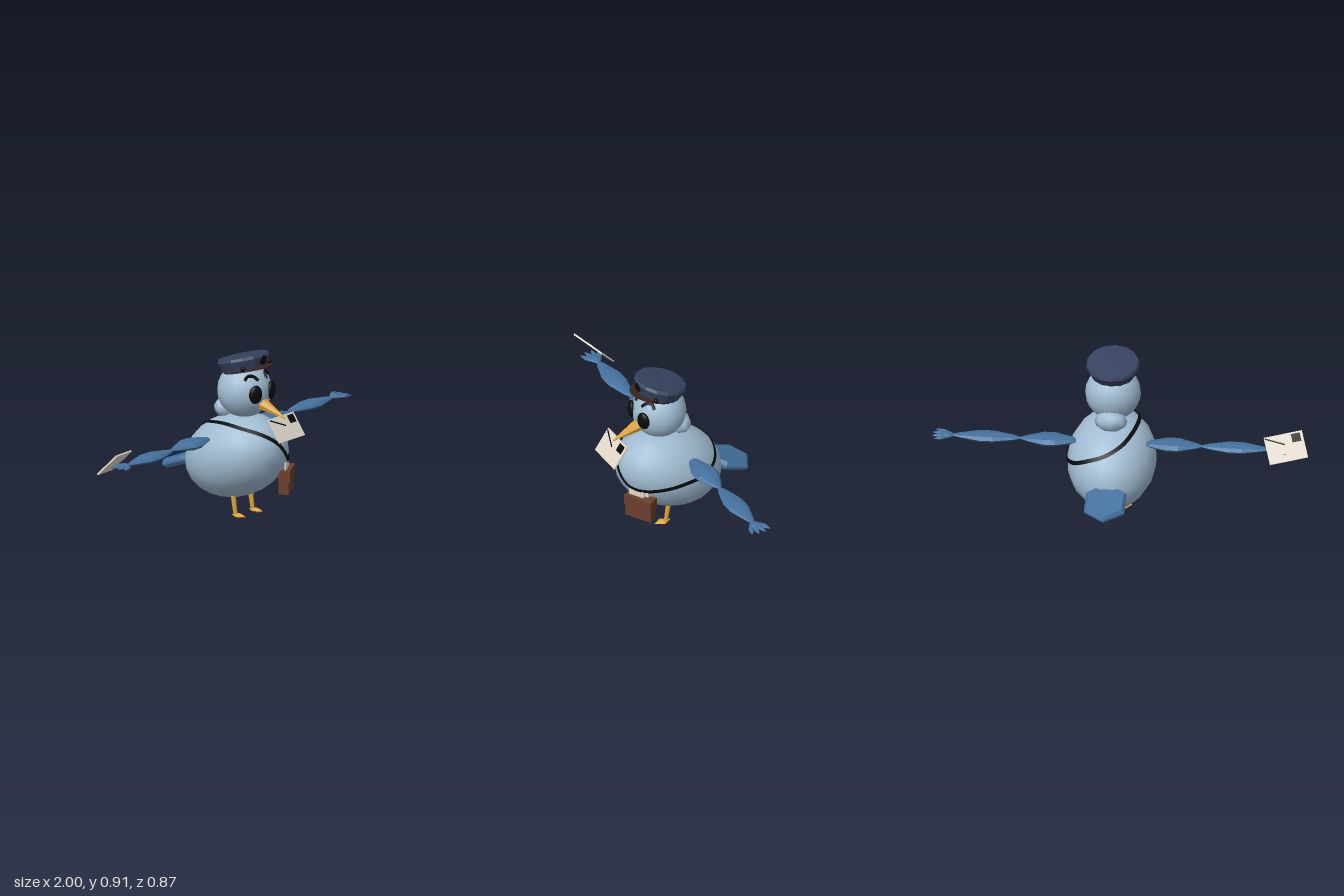
import * as THREE from 'three';

const mat = (name, color) => {
  const m = new THREE.MeshStandardMaterial({ color });
  m.name = name;
  return m;
};
const V = (x, y, z) => new THREE.Vector3(x, y, z);

export function createModel() {
  const paleBlue = mat('paleBlue', 0xa0bcd2);
  const wingBlue = mat('wingBlue', 0x44719e);
  const navy = mat('navy', 0x36425f);
  const gold = mat('gold', 0xdba238);
  const black = mat('black', 0x0a0a0a);
  black.side = THREE.DoubleSide;
  const leather = mat('leather', 0x6b402d);
  const darkBrown = mat('darkBrown', 0x3f241e);
  const paper = mat('paper', 0xe2d9cd);

  const model = new THREE.Group();
  const bird = new THREE.Group();
  bird.name = 'bird';
  bird.position.x = 0.05;
  model.add(bird);

  const add = (parent, name, geo, material, pos = [0, 0, 0], rot = [0, 0, 0], scale = [1, 1, 1]) => {
    const m = new THREE.Mesh(geo, material);
    m.name = name;
    m.position.set(...pos);
    m.rotation.set(...rot);
    m.scale.set(...scale);
    parent.add(m);
    return m;
  };
  const faceted = (geo) => {
    const g = geo.index ? geo.toNonIndexed() : geo;
    g.computeVertexNormals();
    return g;
  };
  // Tapered rod from a to b
  const rod = (parent, name, a, b, rA, rB, sides, material) => {
    const dir = b.clone().sub(a);
    const m = add(parent, name, faceted(new THREE.CylinderGeometry(rB, rA, dir.length(), sides)), material);
    m.position.copy(a).add(b).multiplyScalar(0.5);
    m.quaternion.setFromUnitVectors(V(0, 1, 0), dir.normalize());
    return m;
  };

  // Body and head
  const ball = new THREE.SphereGeometry(1, 18, 12);
  const body = add(bird, 'body', ball, paleBlue, [0, 0.325, 0.05], [-0.38, 0, 0], [0.237, 0.225, 0.31]);
  add(bird, 'head', ball, paleBlue, [0, 0.69, 0.103], [0, 0, 0], [0.148, 0.147, 0.145]);
  add(bird, 'napeTuft', new THREE.SphereGeometry(1, 8, 6), paleBlue, [0, 0.577, -0.012], [0.25, 0, 0], [0.088, 0.058, 0.064]);

  // Eyes and brows
  for (const s of [-1, 1]) {
    add(bird, 'eye', ball, black, [s * 0.065, 0.698, 0.233], [0, s * 0.4, 0], [0.038, 0.05, 0.02]);
    const brow = [[0.032, 0.768], [0.048, 0.789], [0.072, 0.791], [0.096, 0.77]].map(([x, y]) => {
      const d = V(s * x, y - 0.69, 0);
      d.z = Math.sqrt(0.148 ** 2 - d.lengthSq());
      return d.add(V(0, 0.69, 0.103));
    });
    add(bird, 'brow', new THREE.TubeGeometry(new THREE.CatmullRomCurve3(brow), 10, 0.009, 5), black);
  }

  // Beak
  rod(bird, 'beak', V(0, 0.633, 0.225), V(0, 0.582, 0.38), 0.036, 0.004, 7, gold);

  // Cap
  const cap = new THREE.Group();
  cap.name = 'cap';
  cap.position.set(0, 0.8, 0.11);
  cap.rotation.x = -0.25;
  bird.add(cap);
  const crown = [[0, 0], [0.117, 0], [0.143, 0.062], [0.135, 0.077], [0, 0.08]].map((p) => new THREE.Vector2(...p));
  add(cap, 'crown', faceted(new THREE.LatheGeometry(crown, 14)), navy);
  add(cap, 'visor', new THREE.CylinderGeometry(1, 1, 0.008, 14, 1, false, -Math.PI / 2, Math.PI), darkBrown,
    [0, 0.004, 0], [0, 0, 0], [0.122, 1, 0.162]);
  add(cap, 'badge', new THREE.CylinderGeometry(0.025, 0.025, 0.008, 10), black, [0, 0.042, 0.136], [Math.PI / 2 + 0.35, 0, 0]);
  for (const s of [-1, 1]) add(cap, 'capButton', new THREE.SphereGeometry(0.013, 8, 6), black, [s * 0.108, 0.018, 0.078]);

  // Wings: two leaf-like segments and a fan of feather fingers
  const spindle = (x0, x1, rz, ry) => {
    const n = [[0, 0.12], [0.12, 0.5], [0.4, 1], [0.6, 1], [0.88, 0.45], [1, 0.12]];
    const pts = n.map(([t, r]) => new THREE.Vector2(r, x0 + t * (x1 - x0)));
    pts.unshift(new THREE.Vector2(0, x0));
    pts.push(new THREE.Vector2(0, x1));
    const g = new THREE.LatheGeometry(pts, 8);
    g.rotateZ(-Math.PI / 2);
    g.scale(1, ry, rz);
    return faceted(g);
  };
  for (const s of [1, -1]) {
    const wing = new THREE.Group();
    wing.name = s > 0 ? 'leftWing' : 'rightWing';
    wing.position.set(0, 0.443, 0.004);
    wing.rotation.y = s > 0 ? 0 : Math.PI;
    bird.add(wing);
    add(wing, 'upperWing', spindle(0.17, 0.485, 0.067, 0.026), wingBlue);
    add(wing, 'lowerWing', spindle(0.475, 0.85, 0.056, 0.022), wingBlue);
    add(wing, 'palm', spindle(0.83, 0.915, 0.034, 0.014), wingBlue);
    for (let i = 0; i < 4; i++) {
      const a = (i - 1.5) * 0.27;
      add(wing, 'featherFinger', spindle(0, 0.1 - Math.abs(a) * 0.03, 0.014, 0.01), wingBlue,
        [0.855, 0, -a * 0.05], [0, a, 0]);
    }
  }

  // Tail
  const tail = new THREE.Shape([[-0.035, 0], [0.035, 0], [0.093, 0.045], [0.093, 0.165], [0, 0.222], [-0.093, 0.165], [-0.093, 0.045]]
    .map((p) => new THREE.Vector2(...p)));
  const tailGeo = new THREE.ExtrudeGeometry(tail, { depth: 0.012, bevelEnabled: true, bevelSegments: 1, bevelThickness: 0.018, bevelSize: 0.014 });
  tailGeo.rotateX(-Math.PI / 2);
  add(bird, 'tail', tailGeo, wingBlue, [0, 0.268, -0.208], [-0.35, 0, 0]);

  // Legs and feet
  for (const s of [-1, 1]) {
    rod(bird, 'leg', V(s * 0.071, 0.018, 0.1), V(s * 0.071, 0.15, 0.079), 0.011, 0.015, 8, gold);
    add(bird, 'foot', new THREE.OctahedronGeometry(1), gold, [s * 0.071, 0.015, 0.122], [0, 0, 0], [0.03, 0.015, 0.049]);
  }

  // Shoulder strap: a ribbon wrapped on the body
  body.updateMatrix();
  const inv = body.matrix.clone().invert();
  const wrap = (p, k) => p.clone().applyMatrix4(inv).normalize().multiplyScalar(k).applyMatrix4(body.matrix);
  const path = new THREE.CatmullRomCurve3([
    [-0.14, 0.53, 0.2], [-0.09, 0.5, 0.3], [-0.02, 0.44, 0.345], [0.04, 0.37, 0.355], [0.085, 0.325, 0.335],
    [0.14, 0.312, 0.3], [0.22, 0.33, 0.17], [0.24, 0.345, 0.07], [0.24, 0.355, -0.05], [0.19, 0.38, -0.14],
    [0.12, 0.42, -0.19], [0.02, 0.455, -0.19], [-0.07, 0.495, -0.13], [-0.12, 0.525, -0.03], [-0.145, 0.54, 0.09],
  ].map((p) => wrap(V(...p), 1.03)), true);
  const N = 60, pos = [], idx = [];
  for (let i = 0; i <= N; i++) {
    const p = path.getPointAt((i % N) / N);
    const t = path.getTangentAt((i % N) / N);
    const side = p.clone().sub(body.position).cross(t).normalize().multiplyScalar(0.011);
    for (const k of [-1, 1]) pos.push(...wrap(p.clone().addScaledVector(side, k), 1.03).toArray());
    if (i < N) idx.push(2 * i, 2 * i + 2, 2 * i + 1, 2 * i + 1, 2 * i + 2, 2 * i + 3);
  }
  const strap = new THREE.BufferGeometry();
  strap.setAttribute('position', new THREE.Float32BufferAttribute(pos, 3));
  strap.setIndex(idx);
  strap.computeVertexNormals();
  add(bird, 'strap', strap, black);

  // Satchel with flap and letters poking out
  const bag = new THREE.Group();
  bag.name = 'satchel';
  bag.position.set(0.176, 0.2, 0.282);
  bag.rotation.y = Math.PI / 6;
  model.add(bag);
  add(bag, 'pouch', new THREE.BoxGeometry(0.155, 0.125, 0.055), leather);
  add(bag, 'flap', new THREE.BoxGeometry(0.163, 0.062, 0.064), leather, [0, 0.036, 0.003]);
  add(bag, 'bagLetter', new THREE.BoxGeometry(0.09, 0.1, 0.008), paper, [-0.02, 0.06, 0.008], [0, 0, 0.06]);
  add(bag, 'bagLetter', new THREE.BoxGeometry(0.08, 0.1, 0.008), paper, [0, 0.05, -0.01], [0, 0, -0.08]);

  // Letters held in the beak and the right wing
  const letter = (name, center, xAxis, yAxis, h) => {
    const g = new THREE.Group();
    g.name = name;
    const x = xAxis.normalize(), z = x.clone().cross(yAxis).normalize();
    g.quaternion.setFromRotationMatrix(new THREE.Matrix4().makeBasis(x, z.clone().cross(x), z));
    g.position.copy(center);
    add(g, 'envelope', new THREE.BoxGeometry(0.207, h, 0.009), paper);
    add(g, 'stamp', new THREE.BoxGeometry(0.048, 0.046, 0.003), black, [0.065, h / 2 - 0.033, 0.005]);
    add(g, 'addressLine', new THREE.BoxGeometry(0.11, 0.007, 0.003), black, [-0.05, h / 2 - 0.034, 0.005], [0, 0, -0.48]);
    model.add(g);
  };
  letter('beakLetter', V(0.05, 0.532, 0.389), V(1, 0, 0), V(0, 0.115, -0.08), 0.14);
  letter('wingLetter', V(-0.88, 0.47, -0.02), V(-0.195, 0.025, 0.06), V(0.045, 0.115, 0.1), 0.152);

  return model;
}
